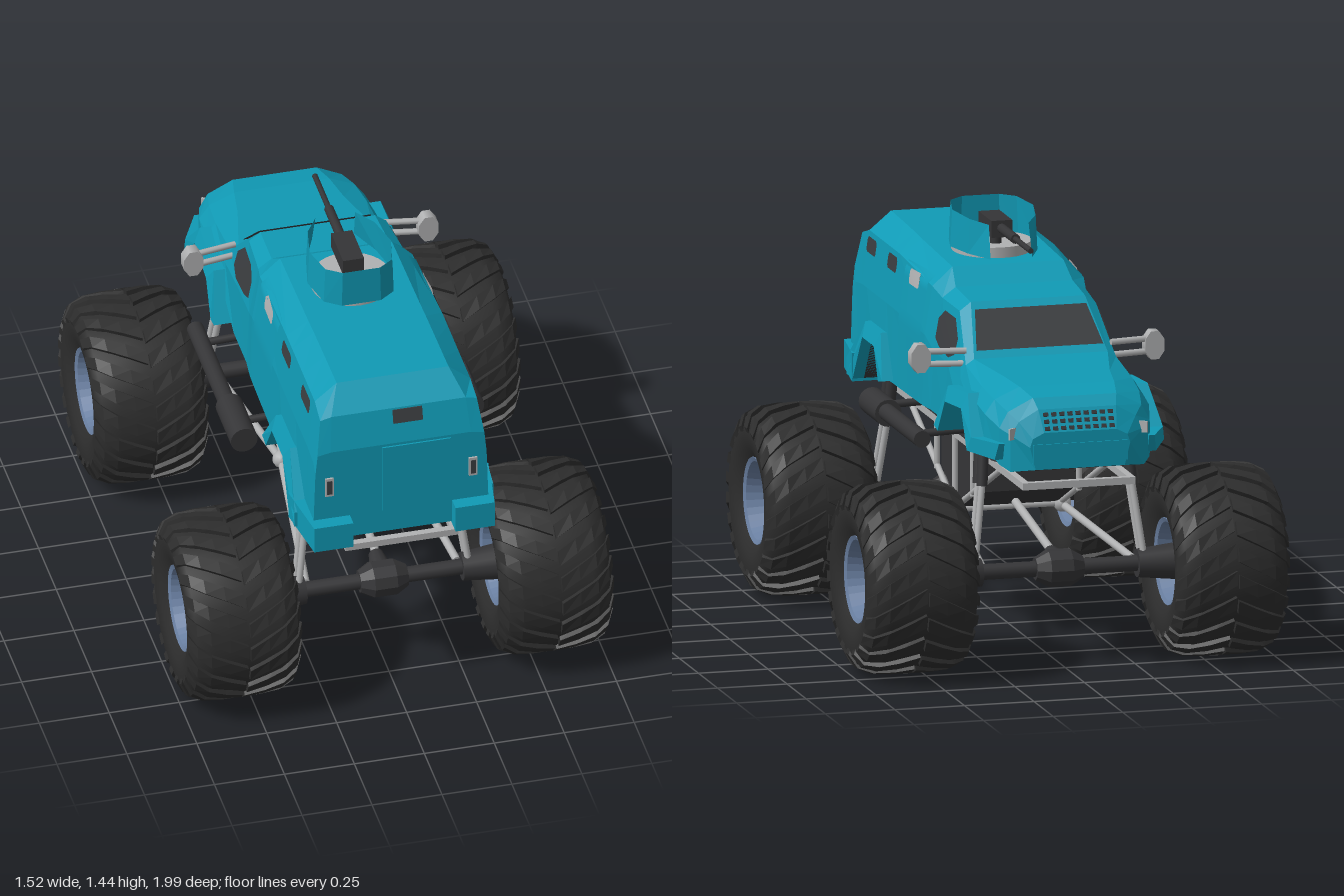
import * as THREE from 'three';

const mat = (name, color, side = THREE.FrontSide) => {
  const m = new THREE.MeshStandardMaterial({ color, side });
  m.name = name;
  return m;
};

// Hull stations, rear to nose: z, then (half width, height) of sill, belt, shoulder, roof
const REAR = [[0.92, 0.315, 0.74, 0.306, 1.02, 0.298, 1.1, 0.25, 1.11], [0.885, 0.315, 0.74, 0.304, 1.05, 0.28, 1.225, 0.24, 1.235]];
// The crew box keeps one section; only the sill (wheel arch) and roof height change
const CREW = [[0.8, 0.74, 1.315], [0.74, 0.74, 1.313], [0.63, 0.91, 1.31], [0.48, 0.91, 1.305], [0.4, 0.8, 1.3]]
  .map(([z, sill, roof]) => [z, 0.314, sill, 0.304, 1.06, 0.278, 1.25, 0.2, roof]);
const CAB = [
  [0.0, 0.308, 0.8, 0.3, 1.05, 0.272, 1.22, 0.2, 1.285],
  [-0.08, 0.3, 0.8, 0.29, 1.01, 0.258, 1.195, 0.21, 1.23],
  [-0.26, 0.3, 0.8, 0.288, 1.0, 0.245, 1.185, 0.205, 1.215],
  [-0.43, 0.305, 0.91, 0.288, 0.98, 0.27, 1.03, 0.24, 1.05],
];
const HOOD = [
  [-0.64, 0.31, 0.93, 0.3, 0.955, 0.27, 1.0, 0.19, 1.03],
  [-0.77, 0.3, 0.82, 0.295, 0.93, 0.26, 0.98, 0.17, 1.02],
  [-0.87, 0.27, 0.77, 0.27, 0.9, 0.24, 0.955, 0.15, 1.0],
  [-0.905, 0.24, 0.75, 0.24, 0.88, 0.21, 0.925, 0.14, 0.965],
  [-0.945, 0.16, 0.76, 0.18, 0.84, 0.17, 0.87, 0.13, 0.89],
];
const HULL = [...REAR, ...CREW, ...CAB, ...HOOD];

// Half width of the hull side at a given z and y
function sideX(z, y) {
  let i = 0;
  while (i < HULL.length - 2 && HULL[i + 1][0] > z) i++;
  const a = HULL[i], b = HULL[i + 1], t = (a[0] - z) / (a[0] - b[0]);
  const s = a.map((v, k) => v + (b[k] - v) * t);
  const k = y < s[4] ? 1 : y < s[6] ? 3 : 5;
  return s[k] + ((s[k + 2] - s[k]) * (y - s[k + 1])) / (s[k + 3] - s[k + 1]);
}

function flat(positions) {
  const g = new THREE.BufferGeometry();
  g.setAttribute('position', new THREE.Float32BufferAttribute(positions, 3));
  g.computeVertexNormals();
  return g;
}

export function createModel() {
  const root = new THREE.Group();
  root.name = 'armouredMonsterTruck';
  const paint = mat('teal paint', 0x109ab5);
  const paintThin = mat('teal sheet', 0x109ab5, THREE.DoubleSide);
  const rubber = mat('tyre rubber', 0x2d2d2d);
  const dark = mat('dark metal', 0x353537);
  const glass = mat('dark glass', 0x3b3d40, THREE.DoubleSide);
  const steel = mat('light steel', 0xb0b1b2, THREE.DoubleSide);
  const rimBlue = mat('blue grey rim', 0x6a80a2, THREE.DoubleSide);

  const add = (name, geo, m, parent = root) => {
    const mesh = new THREE.Mesh(geo, m);
    mesh.name = name;
    parent.add(mesh);
    return mesh;
  };
  const box = (name, m, w, h, d, x, y, z) => {
    const b = add(name, new THREE.BoxGeometry(w, h, d), m);
    b.position.set(x, y, z);
    return b;
  };
  const rod = (name, m, a, b, r, r2 = r, sides = 12, parent = root) => {
    const p = new THREE.Vector3(...a), d = new THREE.Vector3(...b).sub(p);
    const c = add(name, new THREE.CylinderGeometry(r2, r, d.length(), sides), m, parent);
    c.position.copy(p).addScaledVector(d, 0.5);
    c.quaternion.setFromUnitVectors(new THREE.Vector3(0, 1, 0), d.normalize());
  };

  // Hull: painted skin lofted through the stations, with a dark belly
  const rings = HULL.map((s) => {
    const half = [1, 3, 5, 7].map((k) => [s[k], s[k + 1], s[0]]);
    return [...half, ...half.slice().reverse().map(([x, y, z]) => [-x, y, z])];
  });
  const skin = [], belly = [];
  for (let i = 0; i < rings.length - 1; i++) for (let j = 0; j < 8; j++) {
    const k = (j + 1) % 8, [a, b, c, d] = [rings[i][j], rings[i][k], rings[i + 1][k], rings[i + 1][j]];
    (j === 7 ? belly : skin).push(...a, ...d, ...b, ...d, ...c, ...b);
  }
  const last = rings[rings.length - 1];
  for (let j = 1; j < 7; j++) {
    skin.push(...rings[0][0], ...rings[0][j], ...rings[0][j + 1]);
    skin.push(...last[0], ...last[j + 1], ...last[j]);
  }
  add('hull', flat(skin), paint);
  add('belly', flat(belly), dark);

  // Shape drawn in z and y, extruded along x
  const sideShape = (pts) => new THREE.Shape(pts.map(([z, y]) => new THREE.Vector2(-z, y)));
  const extrudeX = (pts, x0, x1) => new THREE.ExtrudeGeometry(sideShape(pts), { depth: x1 - x0, bevelEnabled: false })
    .rotateY(Math.PI / 2).translate(x0, 0, 0);
  add('underPan', extrudeX([[0.76, 0.84], [0.62, 0.74], [-0.62, 0.73], [-0.86, 0.76], [-0.88, 0.84], [-0.6, 0.9], [0.6, 0.9]], -0.23, 0.23), dark);

  // Plate laid on the hull side
  const sidePlate = (name, geo, m, s, lift) => {
    const p = geo.attributes.position;
    for (let i = 0; i < p.count; i++) {
      const z = -p.getX(i), y = p.getY(i);
      p.setXYZ(i, s * (sideX(z, y) + lift), y, z);
    }
    geo.computeVertexNormals();
    add(name, geo, m);
  };
  const windowPts = (z0, z1) => [[z0, 1.19], [z0, 1.225], [z0 - 0.012, 1.236], [z1 + 0.012, 1.236],
    [z1, 1.225], [z1, 1.19], [z1 + 0.01, 1.182], [z0 - 0.01, 1.182]];
  const cabWindow = [[-0.1, 1.06], [-0.1, 1.13], [-0.15, 1.165], [-0.26, 1.16], [-0.325, 1.1], [-0.325, 1.045], [-0.27, 1.025], [-0.15, 1.04]];
  const arches = {
    RearFender: [[0.82, 0.8], [0.66, 0.96], [0.46, 0.96], [0.36, 0.81], [0.41, 0.8], [0.48, 0.91], [0.63, 0.91], [0.74, 0.74], [0.82, 0.74]],
    FrontFender: [[-0.32, 0.8], [-0.42, 0.96], [-0.65, 0.98], [-0.77, 0.85], [-0.9, 0.85], [-0.88, 0.79], [-0.75, 0.8], [-0.64, 0.925], [-0.45, 0.91], [-0.37, 0.79]],
  };

  for (const s of [1, -1]) {
    const side = s > 0 ? 'left' : 'right';
    // Windows and door panel
    sidePlate(side + 'Door', new THREE.PlaneGeometry(0.27, 0.44, 8, 16).translate(-0.175, 1.03, 0), paintThin, s, 0.004);
    [[0.78, 0.665, glass], [0.51, 0.395, glass], [0.24, 0.125, steel]].forEach(([a, b, m], i) =>
      sidePlate(side + 'Window' + i, new THREE.ShapeGeometry(sideShape(windowPts(a, b))), m, s, 0.008));
    sidePlate(side + 'CabWindow', new THREE.ShapeGeometry(sideShape(cabWindow)), glass, s, 0.008);

    // Angular fenders, chamfered towards the top and the nose
    for (const [name, pts] of Object.entries(arches)) {
      const g = s > 0 ? extrudeX(pts, 0.26, 0.355) : extrudeX(pts, -0.355, -0.26);
      const p = g.attributes.position;
      for (let i = 0; i < p.count; i++) {
        if (Math.abs(p.getX(i)) < 0.3) continue;
        const cut = Math.max(0, p.getY(i) - 0.9) * 0.4 + Math.max(0, -p.getZ(i) - 0.75) * 0.5;
        p.setX(i, p.getX(i) - s * cut);
      }
      g.computeVertexNormals();
      add(side + name, g, paint);
    }

    // Rear bumper corner and tail light
    const bumper = new THREE.BoxGeometry(0.175, 0.1, 0.23);
    const bp = bumper.attributes.position;
    for (let i = 0; i < bp.count; i++) if (bp.getX(i) * s > 0 && bp.getZ(i) > 0) bp.setX(i, bp.getX(i) - s * 0.035);
    bumper.computeVertexNormals();
    add(side + 'RearBumper', bumper, paint).position.set(s * 0.27, 0.78, 0.855);
    box(side + 'TailLight', steel, 0.03, 0.075, 0.008, s * 0.257, 0.965, 0.923);
    box(side + 'TailLens', glass, 0.018, 0.055, 0.008, s * 0.257, 0.965, 0.926);

    // Headlight and mirror
    box(side + 'Headlight', steel, 0.05, 0.04, 0.008, s * 0.228, 0.885, -0.907).rotation.y = s * 0.6;
    const mirror = new THREE.Group();
    mirror.name = side + 'Mirror';
    root.add(mirror);
    for (const y of [1.03, 1.075]) rod('mirrorArm', steel, [s * 0.26, y, -0.4], [s * 0.41, y, -0.375], 0.011, 0.011, 8, mirror);
    const head = new THREE.CylinderGeometry(0.05, 0.05, 0.045, 8).rotateX(Math.PI / 2).rotateZ(Math.PI / 8).scale(0.75, 1.08, 1);
    add('mirrorHead', head, steel, mirror).position.set(s * 0.42, 1.053, -0.372);

    // Side exhaust
    rod(side + 'Muffler', dark, [s * 0.405, 0.757, 0.305], [s * 0.405, 0.757, 0.09], 0.048, 0.048, 20);
    rod(side + 'ExhaustPipe', dark, [s * 0.41, 0.762, 0.1], [s * 0.41, 0.762, -0.37], 0.03, 0.03, 16);
    for (const z of [0.2, -0.28]) rod(side + 'ExhaustBracket', dark, [s * 0.2, 0.77, z], [s * 0.41, 0.762, z], 0.014);

    // Frame side, trailing arms and shocks
    box(side + 'Rail', steel, 0.025, 0.025, 1.86, s * 0.19, 0.7, 0);
    rod(side + 'Post', steel, [s * 0.19, 0.43, 0], [s * 0.19, 0.7, 0], 0.011);
    add(side + 'LinkJoint', new THREE.SphereGeometry(0.032, 12, 8), steel).position.set(s * 0.195, 0.425, 0);
    for (const e of [1, -1]) {
      rod(side + 'FramePost', steel, [s * 0.19, 0.52, e * 0.235], [s * 0.19, 0.7, e * 0.235], 0.011);
      rod(side + 'FrameBrace', steel, [s * 0.19, 0.43, 0], [s * 0.19, 0.69, e * 0.6], 0.011);
      rod(side + 'TrailingArm', steel, [s * 0.195, 0.42, 0], [s * 0.27, 0.36, e * 0.64], 0.014);
      for (const o of [0, 0.05]) {
        const top = [s * 0.25, 0.9, e * (0.55 + o)], mid = [s * 0.268, 0.645, e * (0.585 + o)];
        rod(side + 'ShockBody', dark, mid, top, 0.02);
        rod(side + 'ShockRod', steel, [s * 0.305, 0.36, e * (0.625 + o)], mid, 0.012);
      }
    }
  }

  // Frame cross bars, gearbox and drive line
  for (const z of [-0.92, -0.6, -0.235, 0.235, 0.6, 0.92]) box('crossBar', steel, 0.4, 0.025, 0.025, 0, 0.7, z);
  rod('lowerCrossBar', steel, [-0.19, 0.425, 0], [0.19, 0.425, 0], 0.012);
  add('gearbox', extrudeX([[0.23, 0.74], [0.23, 0.53], [0, 0.43], [-0.23, 0.53], [-0.23, 0.74]], -0.175, 0.175), dark);
  const lathe = (pts, n) => new THREE.LatheGeometry(pts.map((p) => new THREE.Vector2(...p)), n).rotateZ(-Math.PI / 2);
  const diff = lathe([[0, -0.085], [0.04, -0.085], [0.066, -0.04], [0.066, 0.04], [0.04, 0.085], [0, 0.085]], 10).toNonIndexed();
  diff.computeVertexNormals();
  for (const e of [1, -1]) {
    rod('driveShaft', steel, [0, 0.46, e * 0.1], [0, 0.38, e * 0.6], 0.015);
    rod('axle', dark, [-0.4, 0.345, e * 0.66], [0.4, 0.345, e * 0.66], 0.028, 0.028, 16);
    add('differential', diff, dark).position.set(0, 0.345, e * 0.66);
    rod('pinion', dark, [0, 0.36, e * 0.66], [0, 0.38, e * 0.56], 0.045, 0.025);
    for (const s of [1, -1]) rod('knuckle', dark, [s * 0.28, 0.345, e * 0.66], [s * 0.42, 0.345, e * 0.66], 0.05, 0.065, 16);
  }

  // Tyre: carcass and chevron lugs, shared by the four wheels
  const wall = [[0.15, 0.165], [0.19, 0.19], [0.25, 0.198], [0.295, 0.18], [0.316, 0.12]];
  const carcass = lathe([...wall.map(([r, x]) => [r, -x]), [0.32, 0], ...wall.slice().reverse()], 48);
  const tread = [[0.004, 0.336], [0.07, 0.335], [0.135, 0.329], [0.18, 0.308], [0.204, 0.262]];
  const lugs = [];
  for (const s of [1, -1]) for (let n = 0; n < 22; n++) {
    const p = new THREE.BoxGeometry(1, 1, 1, 4, 1, 1).toNonIndexed().attributes.position;
    for (let i = 0; i < p.count; i++) {
      const u = p.getX(i) + 0.5, [x, r] = tread[Math.round(u * 4)];
      const radius = p.getY(i) > 0 ? r : r - 0.04, inset = p.getY(i) > 0 ? 0 : u * 0.015;
      const a = ((n + (s > 0 ? 0 : 0.15)) / 22) * Math.PI * 2 + u * 0.42 - s * p.getZ(i) * 0.15;
      lugs.push(s * (x - inset), radius * Math.sin(a), radius * Math.cos(a));
    }
  }
  const lugGeo = flat(lugs);
  const rim = lathe([[0, 0.12], [0.02, 0.12], [0.02, 0.105], [0.05, 0.105], [0.055, 0.095], [0.12, 0.095], [0.138, 0.165], [0.153, 0.172],
    [0.153, -0.172], [0.138, -0.165], [0.12, -0.09], [0, -0.09]], 32).toNonIndexed();
  rim.computeVertexNormals();
  for (const x of [0.557, -0.557]) for (const z of [0.66, -0.66]) {
    const wheel = new THREE.Group();
    wheel.name = (z < 0 ? 'front' : 'rear') + 'Wheel';
    wheel.position.set(x, 0.345, z);
    root.add(wheel);
    add('tyre', carcass, rubber, wheel);
    add('treadLugs', lugGeo, rubber, wheel);
    add('rim', rim, rimBlue, wheel).rotation.y = x < 0 ? Math.PI : 0;
  }

  // Windshield on the slope between the cab roof and the hood
  const [tl, tr, bl, br] = [[-0.2, 1.195, -0.295], [0.2, 1.195, -0.295], [-0.228, 1.076, -0.418], [0.228, 1.076, -0.418]];
  add('windshield', flat([tl, tr, bl, tr, br, bl].flat()), glass);

  // Rear door with its window
  box('rearDoor', paint, 0.245, 0.27, 0.008, 0.055, 0.965, 0.922);
  box('rearWindow', glass, 0.105, 0.05, 0.008, 0.03, 1.205, 0.895).rotation.x = -0.27;

  // Grille holes on the nose, and the bumper below
  for (let r = 0; r < 3; r++) for (let c = 0; c < 9; c++) {
    box('grilleHole', dark, 0.018, 0.014, 0.008, (c - 4) * 0.029, 0.947 - r * 0.0225, -0.914 - r * 0.012).rotation.x = 0.49;
  }
  box('frontBumper', paint, 0.34, 0.07, 0.05, 0, 0.815, -0.925);

  // Roof ring, open turret shield and gun
  rod('turretRing', steel, [0, 1.28, 0.215], [0, 1.325, 0.215], 0.14, 0.14, 32);
  const plan = [[0.075, -0.045], [0.125, 0.07], [0.153, 0.2], [0.125, 0.32], [0.07, 0.36]];
  const outline = [...plan, ...plan.slice().reverse().map(([x, z]) => [-x, z])];
  const low = ([x, z]) => [x, 1.312, z];
  const high = ([x, z]) => [x * 0.95, 1.43 + z * 0.06, z < 0 ? z + 0.035 : z];
  const shield = [];
  for (let i = 0; i < outline.length - 1; i++) {
    const [a, b] = [outline[i], outline[i + 1]];
    shield.push(...low(a), ...high(a), ...low(b), ...low(b), ...high(a), ...high(b));
  }
  add('turretShield', flat(shield), paintThin);
  rod('gunPost', dark, [0, 1.31, 0.16], [0, 1.38, 0.16], 0.02);
  box('gunBody', dark, 0.075, 0.06, 0.17, 0, 1.39, 0.165);
  rod('gunSleeve', dark, [0, 1.392, 0.09], [0, 1.392, -0.1], 0.017);
  rod('gunBarrel', dark, [0, 1.392, -0.1], [0, 1.392, -0.3], 0.01);
  return root;
}
